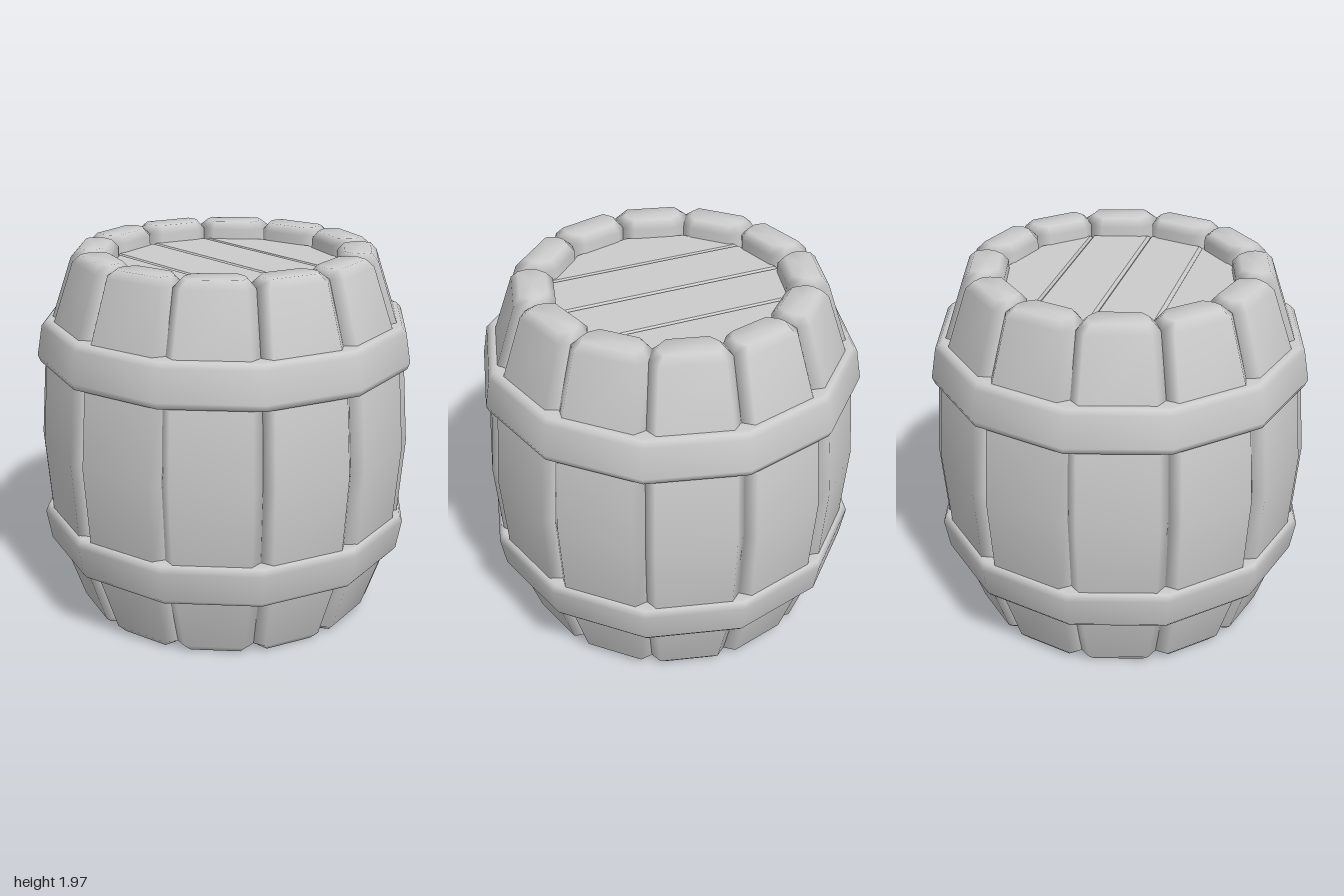
import * as THREE from 'three';

const SIDES = 12, HEIGHT = 1.97, TAN = Math.tan(Math.PI / SIDES);
const material = new THREE.MeshStandardMaterial({ color: 0xcccccc });

// Height and outer distance of a stave, with the rim inset of its end rings
const STAVE_ROWS = [
  [0, 0.79, 0.035], [0.04, 0.79, 0], [0.47, 0.932, 0], [0.985, 0.969, 0],
  [1.5, 0.932, 0], [1.93, 0.79, 0], [HEIGHT, 0.79, 0.035],
];

// Eight-sided chamfered wedge section, counter-clockwise from above
function staveRing([y, outerEdge, inset]) {
  const outer = outerEdge - inset, inner = 0.58 + inset;
  const co = 0.055, ci = 0.045;
  const right = [
    [outer * TAN - co - inset * 0.5, outer],
    [(outer - co) * TAN - inset, outer - co],
    [(inner + ci) * TAN - inset, inner + ci],
    [inner * TAN - ci - inset * 0.5, inner],
  ];
  const left = right.map(([x, z]) => [-x, z]).reverse();
  return [...right, ...left].map(([x, z]) => [x, y, z]);
}

function staveGeometry() {
  const n = 8, rows = STAVE_ROWS.length, index = [];
  const points = STAVE_ROWS.flatMap(staveRing);
  for (let i = 0; i < rows - 1; i++) {
    for (let j = 0; j < n; j++) {
      const a = i * n + j, b = i * n + (j + 1) % n;
      index.push(a, b, b + n, a, b + n, a + n);
    }
  }
  // End caps
  const bottom = points.push([0, 0, 0.69]) - 1;
  const top = points.push([0, HEIGHT, 0.69]) - 1;
  const last = (rows - 1) * n;
  for (let j = 0; j < n; j++) {
    const k = (j + 1) % n;
    index.push(bottom, k, j, top, last + j, last + k);
  }
  const geometry = new THREE.BufferGeometry();
  geometry.setAttribute('position', new THREE.Float32BufferAttribute(points.flat(), 3));
  geometry.setIndex(index);
  geometry.computeVertexNormals();
  return geometry;
}

// Twelve-sided hoop whose wide edge faces the middle of the barrel
function hoopGeometry(upper) {
  let profile = [[0.86, 1.39], [0.965, 1.39], [0.985, 1.395], [1, 1.43], [0.972, 1.59], [0.95, 1.615], [0.93, 1.62], [0.86, 1.62]];
  if (!upper) profile = profile.map(([r, y]) => [r, HEIGHT - y]).reverse();
  return new THREE.LatheGeometry(profile.map(([r, y]) => new THREE.Vector2(r, y)), SIDES);
}

// Lid plank with chamfered edges, cut from a twelve-sided disc
function plankGeometry(half) {
  const outline = [...half, ...half.filter(([, z]) => z > 0).map(([x, z]) => [x, -z]).reverse()];
  const bevel = 0.015;
  const geometry = new THREE.ExtrudeGeometry(new THREE.Shape(outline.map(([x, z]) => new THREE.Vector2(x, z))), {
    depth: 0.05, bevelEnabled: true, bevelSegments: 1,
    bevelSize: bevel, bevelThickness: bevel, bevelOffset: -bevel,
  });
  geometry.rotateX(-Math.PI / 2);
  return geometry;
}

export function createModel() {
  const model = new THREE.Group();
  model.name = 'barrel';
  const add = (name, geometry, parent = model) => {
    const mesh = new THREE.Mesh(geometry, material);
    mesh.name = name;
    parent.add(mesh);
    return mesh;
  };

  // Staves
  const stave = staveGeometry();
  for (let i = 0; i < SIDES; i++) {
    add('stave', stave).rotation.y = (i + 0.5) * 2 * Math.PI / SIDES;
  }

  // Hoops
  add('upperHoop', hoopGeometry(true));
  add('lowerHoop', hoopGeometry(false));

  // Lid and base, four planks each
  const r = 0.622, point = a => [r * Math.sin(a * Math.PI / 6), r * Math.cos(a * Math.PI / 6)];
  const inner = [[0, r], point(1)], outer = [point(1), point(2), [r, 0]];
  for (const [name, y] of [['lid', 1.815], ['base', 0.105]]) {
    const panel = new THREE.Group();
    panel.name = name;
    panel.position.y = y;
    for (const half of [inner, outer]) {
      const plank = plankGeometry(half);
      add(name + 'Plank', plank, panel);
      add(name + 'Plank', plank, panel).rotation.y = Math.PI;
    }
    model.add(panel);
  }
  return model;
}
